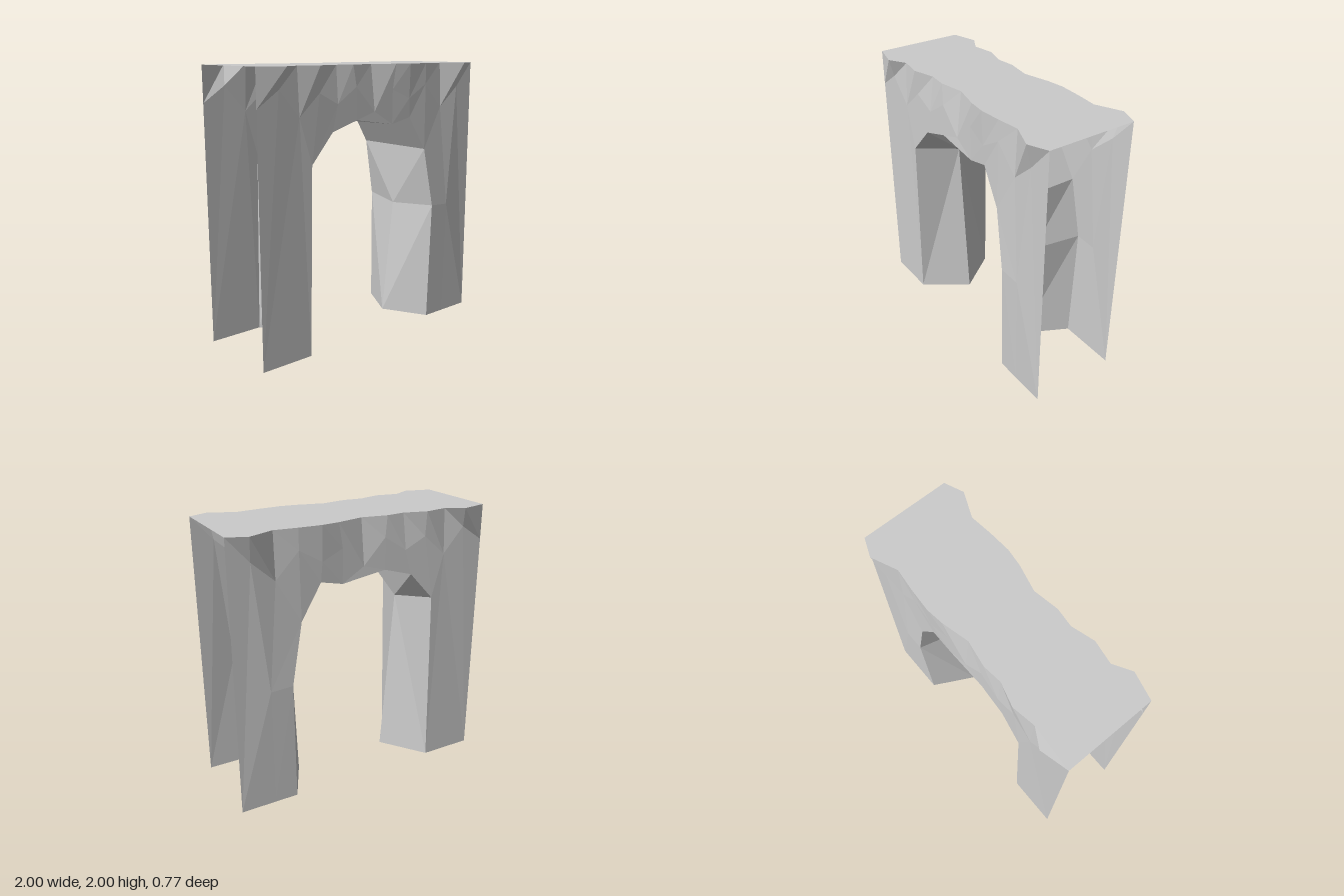
import * as THREE from 'three';

const material = new THREE.MeshStandardMaterial({
  color: 0xcccccc, flatShading: true, side: THREE.DoubleSide,
});

// Builds a faceted sheet from a list of triangles (each three [x, y, z] corners)
function sheet(name, triangles) {
  const geometry = new THREE.BufferGeometry();
  geometry.setAttribute('position', new THREE.Float32BufferAttribute(triangles.flat(2), 3));
  geometry.computeVertexNormals();
  const mesh = new THREE.Mesh(geometry, material);
  mesh.name = name;
  return mesh;
}

// Splits a polygon into triangles, using axes u and v as its plane
function split(points, u = 0, v = 1) {
  const flat = points.map(p => new THREE.Vector2(p[u], p[v]));
  return THREE.ShapeUtils.triangulateShape(flat, []).map(t => t.map(i => points[i]));
}

const mirror = ([x, y, z]) => [x, y, -z];
const flip = tri => tri.map(mirror).reverse();

// Rough upper rim: x and z of the overhanging edge at the top
const rim = [
  [-1, 0.33], [-0.8, 0.38], [-0.67, 0.305], [-0.5, 0.333], [-0.33, 0.285],
  [-0.19, 0.3], [0, 0.268], [0.2, 0.317], [0.33, 0.333], [0.5, 0.323],
  [0.67, 0.305], [0.86, 0.387], [1, 0.33],
].map(([x, z]) => [x, 2, z]);

// Zigzag line where the overhang meets the wall
const zig = [
  [-1, 1.74, 0.33], [-0.83, 1.855, 0.33], [-0.67, 1.67, 0.325], [-0.5, 1.82, 0.32],
  [-0.34, 1.74, 0.315], [-0.17, 1.85, 0.31], [0, 1.67, 0.31], [0.17, 1.82, 0.315],
  [0.33, 1.75, 0.325], [0.5, 1.85, 0.325], [0.67, 1.67, 0.32], [0.84, 1.82, 0.33],
  [1, 1.74, 0.33],
];

// Opening outline from the left foot over the top to the right foot
const arch = [
  [-0.6, 0, 0.33], [-0.575, 1.35, 0.33], [-0.39, 1.555, 0.32], [-0.17, 1.62, 0.315],
  [0.17, 1.57, 0.313], [0.34, 1.61, 0.32], [0.495, 1.36, 0.33], [0.58, 0.91, 0.347],
  [0.565, 0, 0.33],
];

function wallTriangles() {
  const a = arch, z = zig;
  const footA = [-0.76, 0, 0.33], footB = [0.74, 0, 0.33], bulge = [0.745, 0.9, 0.345];
  const panels = [
    [[-1, 0, 0.33], footA, z[2], z[1], z[0]],
    [footA, a[0], a[1], z[3], z[2]],
    [a[1], a[2], z[4], z[3]],
    [a[2], a[3], z[6], z[5], z[4]],
    [a[3], a[4], z[7], z[6]],
    [a[4], a[5], z[8], z[7]],
    [a[5], a[6], z[9], z[8]],
    [a[6], a[7], bulge, z[10], z[9]],
    [a[7], a[8], footB, bulge],
    [bulge, footB, [1, 0, 0.33], z[12], z[11], z[10]],
  ];
  const tris = panels.flatMap(p => split(p));
  // Overhang strip between the zigzag and the rim
  for (let i = 0; i < rim.length - 1; i++) {
    tris.push([z[i], z[i + 1], rim[i + 1]], [z[i], rim[i + 1], rim[i]]);
  }
  return tris;
}

function liningTriangles() {
  const a = arch, b = arch.map(mirror);
  // Ridge points along the middle of the passage
  const footL = [-0.365, 0, 0], ridgeL = [-0.47, 1.29, 0];
  const crown = [0, 1.585, 0];
  const ridgeR = [0.495, 0.89, 0], footR = [0.39, 0, 0];

  const half = [
    [a[0], footL, ridgeL], [a[0], ridgeL, a[1]], [a[1], ridgeL, a[2]],
    [a[3], crown, a[4]],
    [a[6], ridgeR, a[7]], [a[7], ridgeR, footR], [a[7], footR, a[8]],
  ];
  const tris = [
    ...half, ...half.map(flip),
    [a[2], ridgeL, b[2]], [a[3], b[3], crown], [a[4], crown, b[4]], [a[6], b[6], ridgeR],
  ];
  // Plain facets that run straight through
  for (const i of [2, 4, 5]) {
    tris.push([a[i], b[i], b[i + 1]], [a[i], b[i + 1], a[i + 1]]);
  }
  return tris;
}

export function createModel() {
  const group = new THREE.Group();
  group.name = 'rockArch';

  // Front and back walls
  const wall = wallTriangles();
  group.add(sheet('frontWall', wall), sheet('backWall', wall.map(flip)));

  // Inside of the passage
  group.add(sheet('passageLining', liningTriangles()));

  // Flat top; the ends and feet stay open
  const outline = [...rim, ...rim.map(mirror).reverse()];
  group.add(sheet('topSurface', split(outline, 0, 2).map(t => {
    const [p, q, r] = t;
    const up = (q[2] - p[2]) * (r[0] - p[0]) - (q[0] - p[0]) * (r[2] - p[2]);
    return up > 0 ? t : [p, r, q];
  })));
  return group;
}
